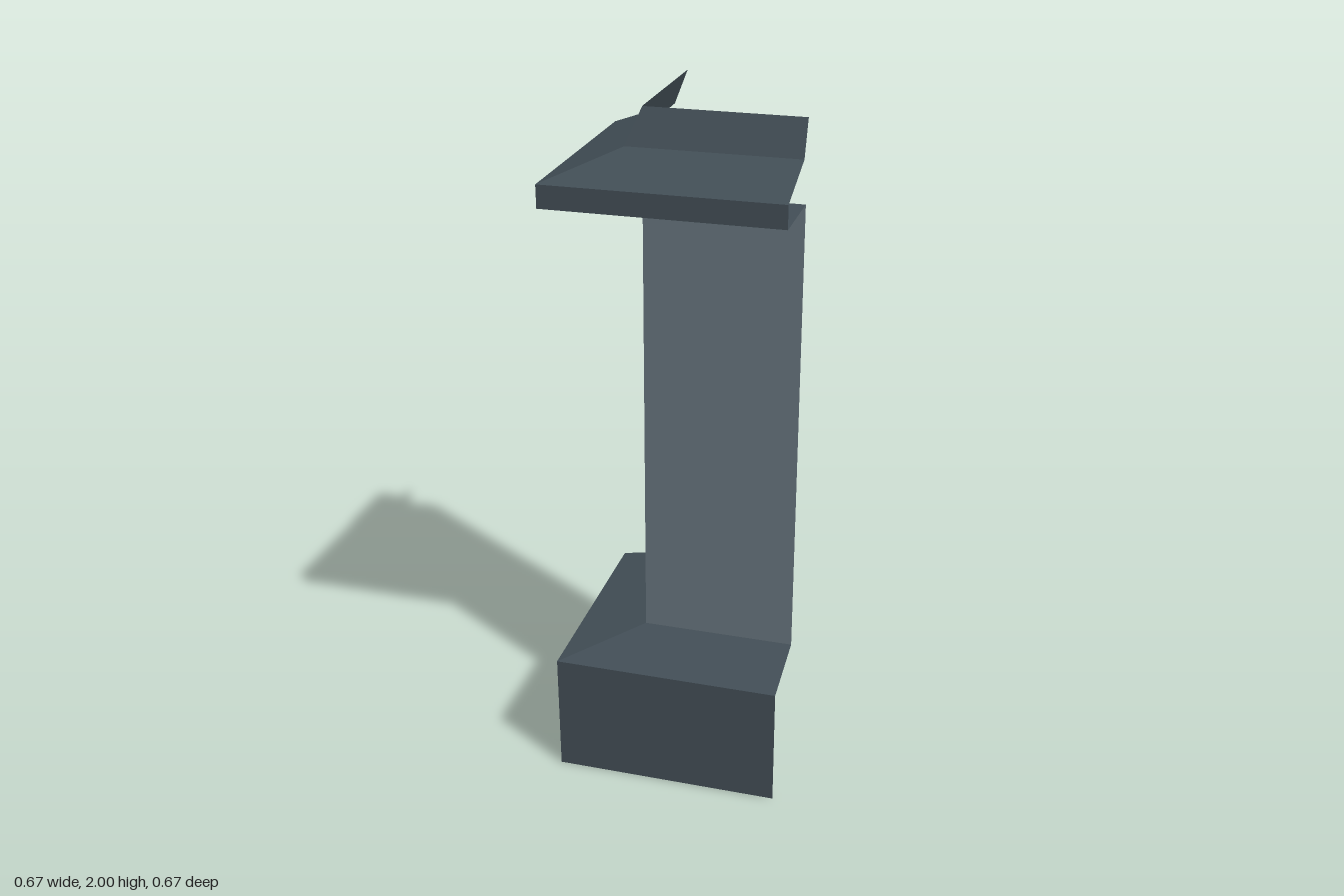
import * as THREE from 'three';

const END = 0.333; // where both wings are cut off

// One mitred L-shaped band following the corner, through [offset, height] profile points.
function cornerBand(name, profile, material) {
  const pos = [];
  const quad = (a, b, c, d) => pos.push(...a, ...b, ...c, ...a, ...c, ...d);
  for (let i = 0; i < profile.length - 1; i++) {
    const [o0, y0] = profile[i];
    const [o1, y1] = profile[i + 1];
    // front wing, running along x
    quad([-o0, y0, o0], [END, y0, o0], [END, y1, o1], [-o1, y1, o1]);
    // side wing, running along z
    quad([-o0, y0, -END], [-o0, y0, o0], [-o1, y1, o1], [-o1, y1, -END]);
  }
  const geometry = new THREE.BufferGeometry();
  geometry.setAttribute('position', new THREE.Float32BufferAttribute(pos, 3));
  geometry.computeVertexNormals(); // unshared corners keep every face flat
  const mesh = new THREE.Mesh(geometry, material);
  mesh.name = name;
  return mesh;
}

export function createModel() {
  const trim = new THREE.MeshStandardMaterial({ color: 0x424e56, side: THREE.DoubleSide });
  trim.name = 'dark slate trim';
  const wall = new THREE.MeshStandardMaterial({ color: 0x67747d, side: THREE.DoubleSide });
  wall.name = 'grey slate wall';

  const model = new THREE.Group();
  model.name = 'cornerPillar';

  // plinth with a sloping top
  model.add(cornerBand('plinth', [[0.333, 0], [0.333, 0.37], [0.12, 0.41]], trim));
  // slightly tapered shaft
  model.add(cornerBand('shaft', [[0.12, 0.41], [0.113, 1.77]], wall));
  // cornice: flat soffit, lip, sloping ledge and raised cap
  model.add(cornerBand('cornice',
    [[0.113, 1.77], [0.333, 1.77], [0.333, 1.835], [0.15, 1.9], [0.111, 2]], trim));

  return model;
}
